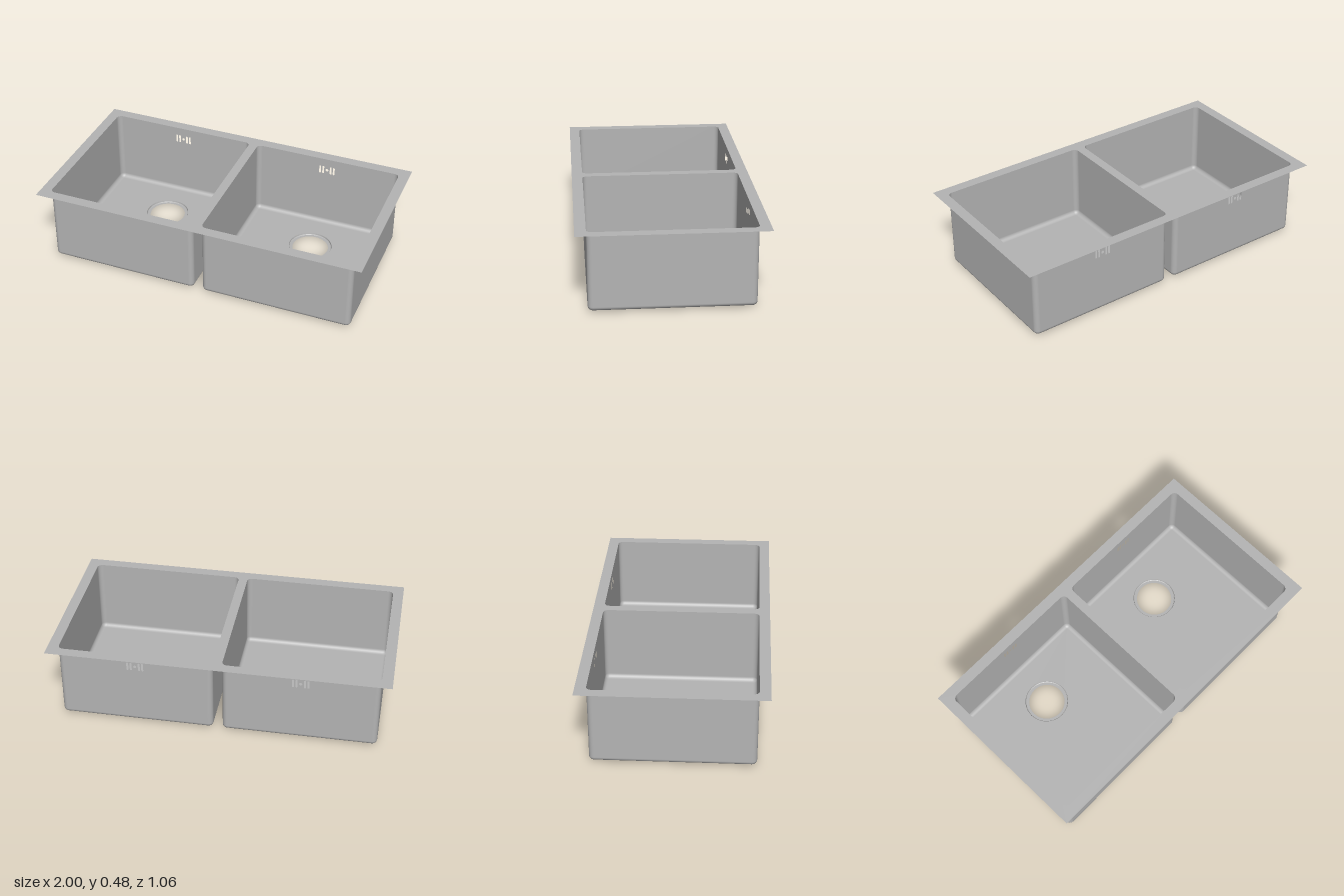
import * as THREE from 'three';
import { toCreasedNormals } from 'three/addons/utils/BufferGeometryUtils.js';

const TOP = 0.478, FLOOR = 0.012;
const HW = 0.455, HD = 0.467;          // half width and half depth of a bowl
const CORNER = 0.03, FILLET = 0.026;   // plan corner radius, floor fillet radius
const BOWL_X = 0.4825, DRAIN_Z = -0.19, DRAIN_R = 0.132, HOLE_R = 0.11;

// Rounded rectangle running from the back right corner round to the back left one
function outline(hw, hd, r, steps = 6) {
  const pts = [];
  for (let c = 0; c < 4; c++) {
    const sx = c < 2 ? 1 : -1, sz = c === 1 || c === 2 ? 1 : -1;
    for (let i = 0; i <= steps; i++) {
      const a = (c - 1 + i / steps) * Math.PI / 2;
      const nx = Math.cos(a), nz = Math.sin(a);
      pts.push({ x: sx * (hw - r) + r * nx, z: sz * (hd - r) + r * nz, nx, nz });
    }
  }
  return pts;
}

function roundedPath(hw, hd, r, cx = 0, cy = 0) {
  return outline(hw, hd, r).map(p => new THREE.Vector2(p.x + cx, p.z + cy));
}

function circlePath(r, cx, cy, n = 32) {
  return new THREE.Path().absarc(cx, cy, r, 0, Math.PI * 2).getPoints(n / 2).slice(0, -1);
}

function sheet(points, holes) {
  const shape = new THREE.Shape(points);
  shape.holes = holes.map(h => new THREE.Path(h));
  return new THREE.ShapeGeometry(shape);
}

// Side walls and floor fillet; the flat back panel is left open for the slotted sheet
function wallGeometry() {
  const rows = [{ y: TOP, inset: 0, t: 0 }];
  for (let i = 0; i <= 6; i++) {
    const t = i / 6 * Math.PI / 2;
    rows.push({ y: FLOOR + FILLET * (1 - Math.sin(t)), inset: FILLET * (1 - Math.cos(t)), t });
  }
  const pos = [], nor = [], idx = [];
  const loop = outline(HW, HD, CORNER), n = loop.length;
  rows.forEach((row, j) => {
    loop.forEach((p, i) => {
      pos.push(p.x - p.nx * row.inset, row.y, p.z - p.nz * row.inset);
      nor.push(p.nx * Math.cos(row.t), -Math.sin(row.t), p.nz * Math.cos(row.t));
      if (j === rows.length - 1 || (j === 0 && i === n - 1)) return;
      const a = j * n + i, b = j * n + (i + 1) % n;
      idx.push(a, b, a + n, b, b + n, a + n);
    });
  });
  const g = new THREE.BufferGeometry();
  g.setAttribute('position', new THREE.Float32BufferAttribute(pos, 3));
  g.setAttribute('normal', new THREE.Float32BufferAttribute(nor, 3));
  g.setIndex(idx);
  return g;
}

// Back panel with overflow: two slots either side of a small round hole
function backGeometry() {
  const w = HW - CORNER, y0 = FLOOR + FILLET, slotY = 0.4;
  const panel = [[-w, y0], [w, y0], [w, TOP], [-w, TOP]].map(p => new THREE.Vector2(...p));
  const holes = [-0.044, -0.024, 0.024, 0.044].map(x => roundedPath(0.006, 0.026, 0.0055, x, slotY));
  holes.push(circlePath(0.009, 0, slotY, 24));
  return sheet(panel, holes).rotateY(Math.PI).translate(0, 0, -HD);
}

function floorGeometry() {
  const edge = roundedPath(HW - FILLET, HD - FILLET, CORNER - FILLET);
  return sheet(edge, [circlePath(DRAIN_R, 0, DRAIN_Z, 96)])
    .rotateX(Math.PI / 2).translate(0, FLOOR, 0);
}

// Shallow stepped seat around the drain hole
function drainGeometry() {
  const profile = [[HOLE_R, 0], [0.126, 0], [0.13, 0.003], [DRAIN_R, FLOOR]];
  const g = new THREE.LatheGeometry(profile.map(p => new THREE.Vector2(...p)), 48);
  return toCreasedNormals(g, 0.6).translate(0, 0, DRAIN_Z);
}

export function createModel() {
  const steel = new THREE.MeshStandardMaterial({ color: 0xb4b4b4, side: THREE.DoubleSide });
  steel.name = 'brushed steel';
  const model = new THREE.Group();
  model.name = 'doubleSink';

  const add = (parent, name, geometry) => {
    const mesh = new THREE.Mesh(geometry, steel);
    mesh.name = name;
    parent.add(mesh);
  };

  // Flat rim with two bowl openings
  const rim = [[-1, -0.53], [1, -0.53], [1, 0.53], [-1, 0.53]].map(p => new THREE.Vector2(...p));
  const openings = [-1, 1].map(s => roundedPath(HW, HD, CORNER, s * BOWL_X));
  add(model, 'rim', sheet(rim, openings).rotateX(-Math.PI / 2).translate(0, TOP, 0));

  // Two identical bowls
  const parts = {
    walls: wallGeometry(), backWall: backGeometry(),
    floor: floorGeometry(), drainSeat: drainGeometry(),
  };
  for (const s of [-1, 1]) {
    const bowl = new THREE.Group();
    bowl.name = s < 0 ? 'rightBowl' : 'leftBowl';
    bowl.position.x = s * BOWL_X;
    for (const [name, geometry] of Object.entries(parts)) add(bowl, name, geometry);
    model.add(bowl);
  }
  return model;
}
